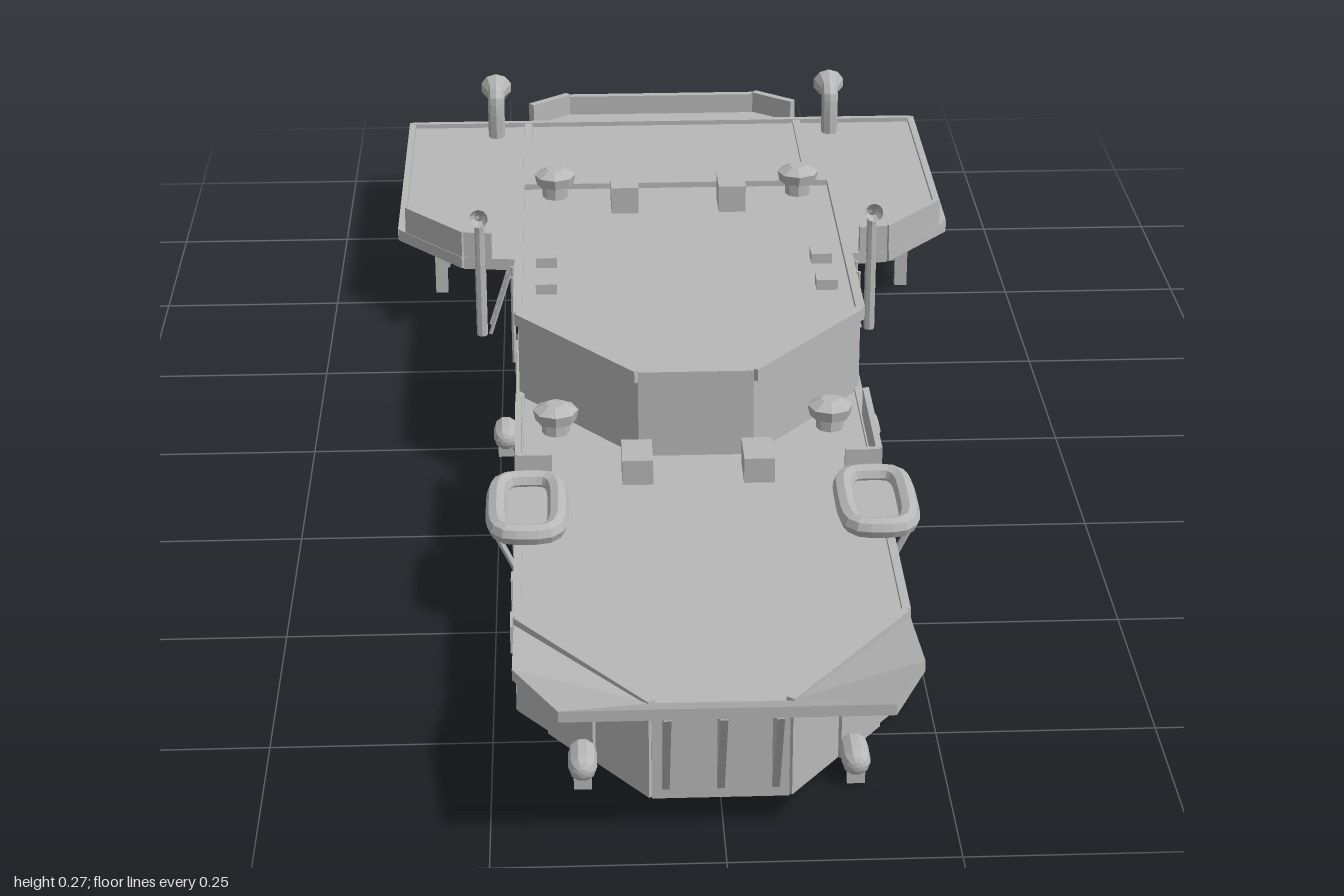
import * as THREE from 'three';

export function createModel() {
  const root = new THREE.Group();
  root.name = 'ship';
  const grey = new THREE.MeshStandardMaterial({ color: 0xb8b8b8, flatShading: true, side: THREE.DoubleSide });
  grey.name = 'grey paint';
  const V = (x, y, z) => new THREE.Vector3(x, y, z);

  const add = (name, geo, x = 0, y = 0, z = 0, parent = root) => {
    const m = new THREE.Mesh(geo, grey);
    m.name = name;
    m.position.set(x, y, z);
    parent.add(m);
    return m;
  };
  const box = (name, w, h, d, x, y, z) => add(name, new THREE.BoxGeometry(w, h, d), x, y + h / 2, z);

  // horizontal slab from a plan of [x, z] points
  const slab = (name, plan, y0, y1) => {
    const s = new THREE.Shape(plan.map(([x, z]) => new THREE.Vector2(x, -z)));
    const g = new THREE.ExtrudeGeometry(s, { depth: y1 - y0, bevelEnabled: false });
    return add(name, g.rotateX(-Math.PI / 2), 0, y0, 0);
  };
  // upright panel between two plan points
  const wall = (name, a, b, y0, y1, t = 0.008) => {
    const dx = b[0] - a[0], dz = b[1] - a[1];
    const m = box(name, Math.hypot(dx, dz), y1 - y0, t, (a[0] + b[0]) / 2, y0, (a[1] + b[1]) / 2);
    m.rotation.y = -Math.atan2(dz, dx);
    return m;
  };
  const walls = (name, pts, y0, y1, t) => {
    for (let i = 0; i < pts.length - 1; i++) wall(name, pts[i], pts[i + 1], y0, y1, t);
  };
  // round bar between two points
  const bar = (name, a, b, r = 0.004, sides = 6) => {
    const m = add(name, new THREE.CylinderGeometry(r, r, a.distanceTo(b), sides));
    m.position.copy(a).add(b).multiplyScalar(0.5);
    m.quaternion.setFromUnitVectors(V(0, 1, 0), b.clone().sub(a).normalize());
    return m;
  };
  const ladder = (name, a, b, width, rungs) => {
    const off = V(0, 0, width / 2);
    for (const k of [-1, 1]) bar(name + 'Rail', a.clone().addScaledVector(off, k), b.clone().addScaledVector(off, k), 0.003);
    for (let i = 1; i <= rungs; i++) {
      const p = a.clone().lerp(b, i / (rungs + 1));
      bar(name + 'Rung', p.clone().sub(off), p.clone().add(off), 0.0025, 4);
    }
  };
  const mirrorPlan = (half) => [...half, ...half.slice().reverse().map(([x, z]) => [-x, z])];

  // hull: open below, with a recessed stern opening
  const half = [[0.15, -0.985], [0.22, -0.935], [0.22, 0.68], [0.075, 0.87]];
  const plan = mirrorPlan(half);
  walls('hullWall', plan, 0, 0.108);
  for (const s of [-1, 1]) wall('sternWall', [s * 0.15, -0.985], [s * 0.065, -0.985], 0, 0.11);
  wall('sternLintel', [-0.065, -0.985], [0.065, -0.985], 0.065, 0.11);
  for (const s of [-1, 1]) wall('sternRecessSide', [s * 0.065, -0.985], [s * 0.065, -0.92], 0, 0.065);
  wall('sternRecessBack', [-0.065, -0.92], [0.065, -0.92], 0, 0.065);
  for (let i = 0; i < 3; i++) box('sternStep', 0.13, 0.006, 0.014, 0, 0.01 + i * 0.018, -0.965 + i * 0.014);
  slab('mainDeck', plan, 0.104, 0.115);

  // bulkheads and deck beams inside the hull
  for (const [z, y] of [[0.62, 0.07], [0.32, 0.06], [0.05, 0.005], [-0.35, 0.005], [-0.62, 0.075], [-0.78, 0.075]])
    box('bulkhead', 0.43, 0.105 - y, 0.012, 0, y, z);

  // deck edge and stern bulwark
  for (const s of [-1, 1]) {
    walls('deckEdge', [[s * 0.221, -0.37], [s * 0.221, 0.68], [s * 0.075, 0.87]], 0.1, 0.121, 0.01);
    wall('sternBulwark', [s * 0.21, -0.945], [s * 0.15, -0.993], 0.105, 0.148, 0.012);
  }
  wall('sternBulwark', [-0.15, -0.993], [0.15, -0.993], 0.105, 0.145, 0.012);
  wall('sternDeckRim', [-0.4, -0.935], [0.4, -0.935], 0.105, 0.122, 0.01);

  // flared bow, top and underside sheets joined by an edge strip
  const rim = [[0.225, 0.112, 0.68], [0.225, 0.14, 0.83], [0.175, 0.187, 0.998],
    [-0.175, 0.187, 0.998], [-0.225, 0.14, 0.83], [-0.225, 0.112, 0.68]];
  const inner = [[0.075, 0.115, 0.865], [-0.075, 0.115, 0.865]];
  const pts = [...rim, ...inner];
  const top = [0, 6, 1, 6, 2, 1, 6, 7, 2, 7, 3, 2, 7, 4, 3, 7, 5, 4];
  const index = [...top];
  for (let i = 0; i < top.length; i += 3) index.push(top[i] + 8, top[i + 2] + 8, top[i + 1] + 8);
  for (let i = 0; i < 5; i++) index.push(i, i + 1, i + 8, i + 1, i + 9, i + 8);
  const flare = new THREE.BufferGeometry();
  const flat = [...pts, ...pts.map(([x, y, z]) => [x, y - 0.013, z])].flat();
  flare.setAttribute('position', new THREE.Float32BufferAttribute(flat, 3));
  flare.setIndex(index);
  flare.computeVertexNormals();
  add('flaredBow', flare);
  // triangular brackets below the bow
  for (const x of [-0.06, 0, 0.06]) {
    const s = new THREE.Shape([[0.865, 0.015], [0.88, 0.015], [0.94, 0.137], [0.865, 0.104]].map(([z, y]) => new THREE.Vector2(-z, y)));
    const g = new THREE.ExtrudeGeometry(s, { depth: 0.008, bevelEnabled: false });
    add('bowBracket', g.rotateY(Math.PI / 2), x - 0.004, 0, 0);
  }

  // superstructure
  const house = mirrorPlan([[0.222, -0.38], [0.222, 0.08], [0.072, 0.265]]);
  slab('deckhouse', house, 0.11, 0.225);
  walls('roofRim', [...house, house[0]], 0.217, 0.233, 0.012);
  const octVent = (x, y, z) => {
    add('mushroomVentStem', new THREE.CylinderGeometry(0.018, 0.018, 0.022, 8), x, y + 0.009, z);
    add('mushroomVentCap', new THREE.CylinderGeometry(0.029, 0.026, 0.014, 8), x, y + 0.024, z);
    add('mushroomVentTop', new THREE.CylinderGeometry(0.012, 0.029, 0.009, 8), x, y + 0.0355, z);
  };

  // flight deck ridge, wings, fittings and details on both sides
  for (const s of [-1, 1]) {
    octVent(s * 0.172, 0.228, -0.345);
    octVent(s * 0.175, 0.115, 0.19);
    box('roofLocker', 0.038, 0.04, 0.055, s * 0.075, 0.223, -0.305);
    box('deckLocker', 0.038, 0.035, 0.06, s * 0.075, 0.113, 0.315);
    for (const z of [-0.1, -0.01]) box('roofHatch', 0.028, 0.016, 0.028, s * 0.185, 0.223, z);
    box('deckRidge', 0.012, 0.01, 0.56, s * 0.215, 0.111, -0.655);

    // wing deck with raised rim
    const wing = [[0.222, -0.94], [0.4, -0.94], [0.4, -0.49], [0.305, -0.38], [0.222, -0.37]].map(([x, z]) => [s * x, z]);
    slab('wingDeck', wing, 0.104, 0.115);
    walls('wingRim', wing.slice(1), 0.104, 0.121, 0.01);
    walls('wingBulwark', [[s * 0.39, -0.478], [s * 0.305, -0.38], [s * 0.265, -0.375]], 0.105, 0.16);

    // wing trusses
    for (const z0 of [-0.585, -0.805]) {
      for (const k of [-1, 1]) {
        box('wingPost', 0.018, 0.1, 0.012, s * 0.345, 0, z0 + k * 0.048);
        box('wingBeam', 0.17, 0.015, 0.014, s * 0.31, 0.09, z0 + k * 0.048);
        bar('wingBrace', V(s * 0.345, 0.008, z0 - k * 0.048), V(s * 0.345, 0.095, z0 + k * 0.048));
        bar('wingStrut', V(s * 0.225, 0.03, z0 + k * 0.048), V(s * 0.34, 0.098, z0 + k * 0.048));
      }
    }

    // side screens beside the deckhouse
    walls('sideScreen', [[s * 0.222, 0.17], [s * 0.222, 0.345], [s * 0.18, 0.345]], 0.115, 0.16);

    // cowl vents: aft on the wing, forward beside the deckhouse
    const cowl = (x, y0, y1, z, r, dir) => {
      const path = new THREE.CatmullRomCurve3([V(x, y0, z), V(x, y1 - 0.03, z), V(x, y1 - 0.012, z + dir * 0.004), V(x, y1 - 0.006, z + dir * 0.016)]);
      add('cowlPipe', new THREE.TubeGeometry(path, 10, r, 8, false));
      const mouth = add('cowlMouth', new THREE.CylinderGeometry(r * 1.9, r, 0.022, 10, 1, true), x, y1 - 0.008, z + dir * 0.02);
      mouth.rotation.x = dir * Math.PI / 2.3;
    };
    cowl(s * 0.265, 0.11, 0.192, -0.89, 0.013, -1);
    cowl(s * 0.282, 0.11, 0.2, -0.372, 0.007, 1);
    bar('standPipe', V(s * 0.282, 0, -0.375), V(s * 0.282, 0.12, -0.375), 0.008, 8);
    bar('sternPipe', V(s * 0.265, 0, -0.89), V(s * 0.265, 0.11, -0.89), 0.014, 8);

    // ladders
    ladder('houseLadder', V(s * 0.23, 0.112, -0.05), V(s * 0.23, 0.235, -0.05), 0.036, 7);
    ladder('sideLadder', V(s * 0.27, 0, -0.395), V(s * 0.235, 0.11, -0.395), 0.034, 7);

    // oval life raft on its cradle
    const oval = [];
    for (let i = 0; i < 16; i++) {
      const a = (i / 16) * Math.PI * 2, c = Math.cos(a), d = Math.sin(a);
      oval.push(V(s * 0.21 + 0.037 * Math.sign(c) * Math.sqrt(Math.abs(c)), 0.133, 0.433 + 0.071 * Math.sign(d) * Math.sqrt(Math.abs(d))));
    }
    add('raftTube', new THREE.TubeGeometry(new THREE.CatmullRomCurve3(oval, true), 32, 0.013, 8, true));
    box('raftFloor', 0.07, 0.004, 0.135, s * 0.21, 0.126, 0.433);
    for (const z of [0.39, 0.476]) bar('raftCradle', V(s * 0.224, 0.07, z), V(s * 0.25, 0.125, z));

    // fenders hung low on the hull
    const fender = (x, z, turn) => {
      const g = new THREE.Group();
      g.name = 'fender';
      g.position.set(x, 0, z);
      g.rotation.y = turn;
      add('fenderRoller', new THREE.CapsuleGeometry(0.016, 0.028, 4, 10).rotateX(Math.PI / 2), 0, 0.027, 0, g);
      for (const k of [-0.014, 0.014]) add('fenderFoot', new THREE.BoxGeometry(0.02, 0.02, 0.007), 0, 0.01, k, g);
      root.add(g);
    };
    fender(s * 0.243, 0.01, 0);
    fender(s * 0.243, -0.7, 0);
    fender(s * 0.15, 0.835, 0);

    // doors, windows and portholes
    for (const [z, w, y0, y1] of [[0.53, 0.022, 0.005, 0.092], [0.49, 0.03, 0.005, 0.04], [0.43, 0.02, 0.005, 0.05], [0.29, 0.045, 0.005, 0.098],
      [-0.12, 0.042, 0.008, 0.095], [0.63, 0.036, 0.055, 0.09], [-0.5, 0.035, 0.005, 0.05], [-0.43, 0.04, 0.005, 0.03], [-0.69, 0.04, 0.06, 0.09]])
      box('sidePanel', 0.008, y1 - y0, w, s * 0.226, y0, z);
    wall('bowDoor', [s * 0.185, 0.732], [s * 0.135, 0.798], 0, 0.082);
    const port = add('porthole', new THREE.TorusGeometry(0.018, 0.005, 6, 14), s * 0.226, 0.046, 0.352);
    port.rotation.y = Math.PI / 2;
  }
  return root;
}
